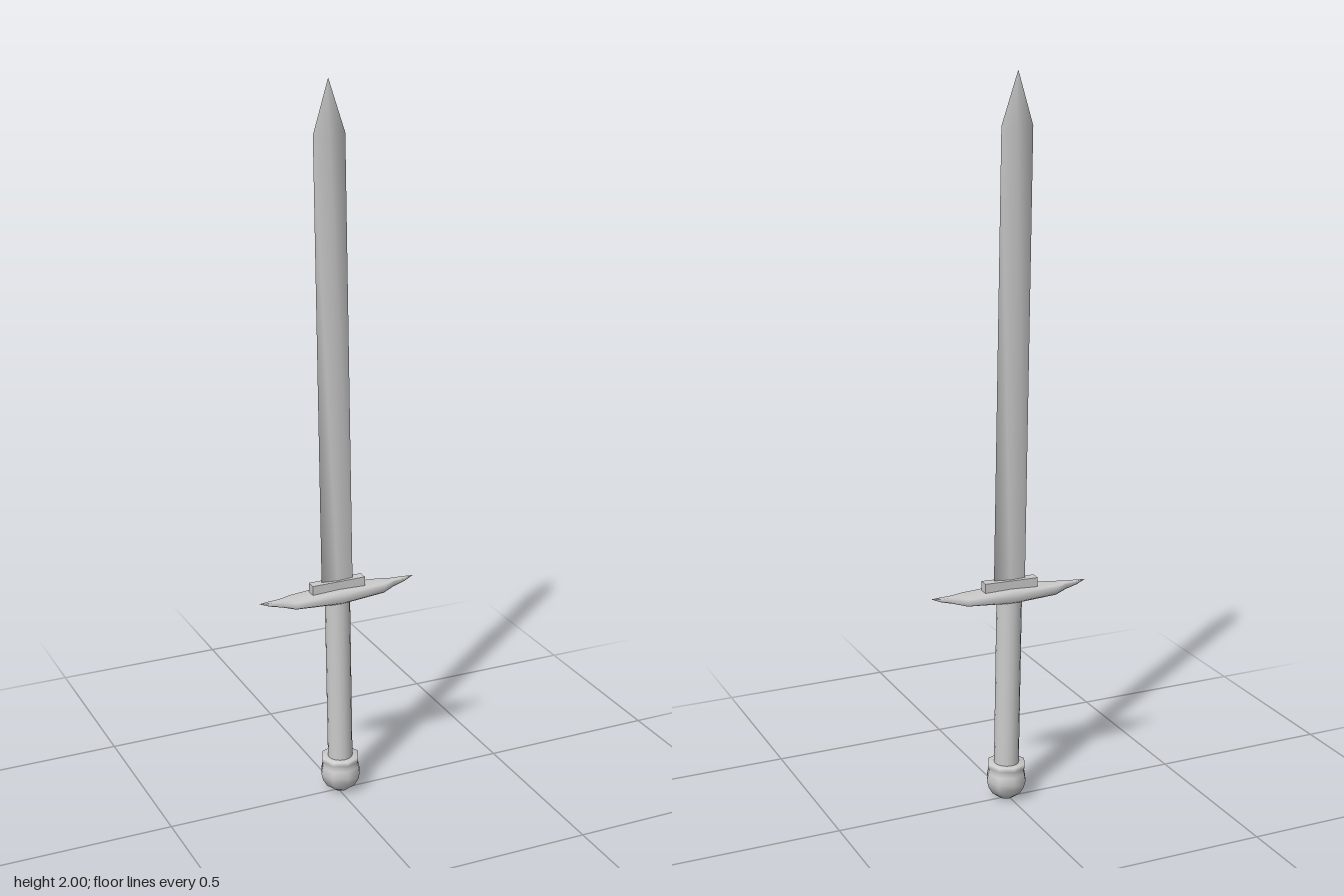
import * as THREE from 'three';

const material = new THREE.MeshStandardMaterial({ color: 0xcccccc });

// Joins rings of points (counterclockwise around the path) into a smooth skin
function loft(rings) {
  const n = rings[0].length, index = [];
  for (let i = 0; i < rings.length - 1; i++) {
    for (let j = 0; j < n; j++) {
      const k = (j + 1) % n, a = i * n, b = a + n;
      index.push(a + j, a + k, b + j, a + k, b + k, b + j);
    }
  }
  const geometry = new THREE.BufferGeometry();
  geometry.setAttribute('position', new THREE.Float32BufferAttribute(rings.flat(2), 3));
  geometry.setIndex(index);
  geometry.computeVertexNormals();
  return geometry;
}

function add(parent, name, geometry) {
  const mesh = new THREE.Mesh(geometry, material);
  mesh.name = name;
  parent.add(mesh);
  return mesh;
}

export function createModel() {
  const model = new THREE.Group();
  model.name = 'sword';

  // The whole sword leans very slightly
  const sword = new THREE.Group();
  sword.name = 'leaningSword';
  sword.position.x = 0.008;
  sword.rotation.set(-0.004, -0.015, 0.016);
  model.add(sword);

  // Blade: thin diamond section narrowing to a point [y, half width, half thickness]
  const bladeRings = [[0.62, 0.045, 0.006], [1.86, 0.0435, 0.004], [2, 0, 0]]
    .map(([y, w, t]) => [[0, y, t], [w, y, 0], [0, y, -t], [-w, y, 0]]);
  add(sword, 'blade', loft(bladeRings)).rotation.y = -0.04;

  // Collar block between blade and guard
  add(sword, 'collar', new THREE.BoxGeometry(0.154, 0.03, 0.028)).position.set(0, 0.631, -0.001);

  // Guard: chamfered section swept along x, stepped and upturned at both ends
  const half = [
    [0, 0.605, 0.018, 0.041], [0.13, 0.605, 0.013, 0.028], [0.165, 0.609, 0.009, 0.012],
    [0.2, 0.613, 0.005, 0.007], [0.228, 0.618, 0, 0],
  ];
  const levels = [...half.slice(1).reverse().map(([x, ...rest]) => [-x, ...rest]), ...half];
  const section = [[1, -0.75], [1, 0.75], [0.6, 1], [-0.6, 1], [-1, 0.75], [-1, -0.75], [-0.6, -1], [0.6, -1]];
  add(sword, 'guard', loft(levels.map(([x, y, hy, hz]) =>
    section.map(([v, w]) => [x, y + v * hy, w * hz]))));

  // Grip
  add(sword, 'grip', new THREE.CylinderGeometry(0.0345, 0.0345, 0.51, 16)).position.y = 0.345;

  // Pommel: eight-sided ball with a lip around its top
  const profile = [
    [0, 0.004], [0.022, 0.008], [0.041, 0.022], [0.053, 0.042], [0.058, 0.062],
    [0.054, 0.082], [0.05, 0.092], [0.054, 0.1], [0.054, 0.112], [0.03, 0.112],
  ].map(([r, y]) => new THREE.Vector2(r, y));
  add(sword, 'pommel', new THREE.LatheGeometry(profile, 8));

  return model;
}
